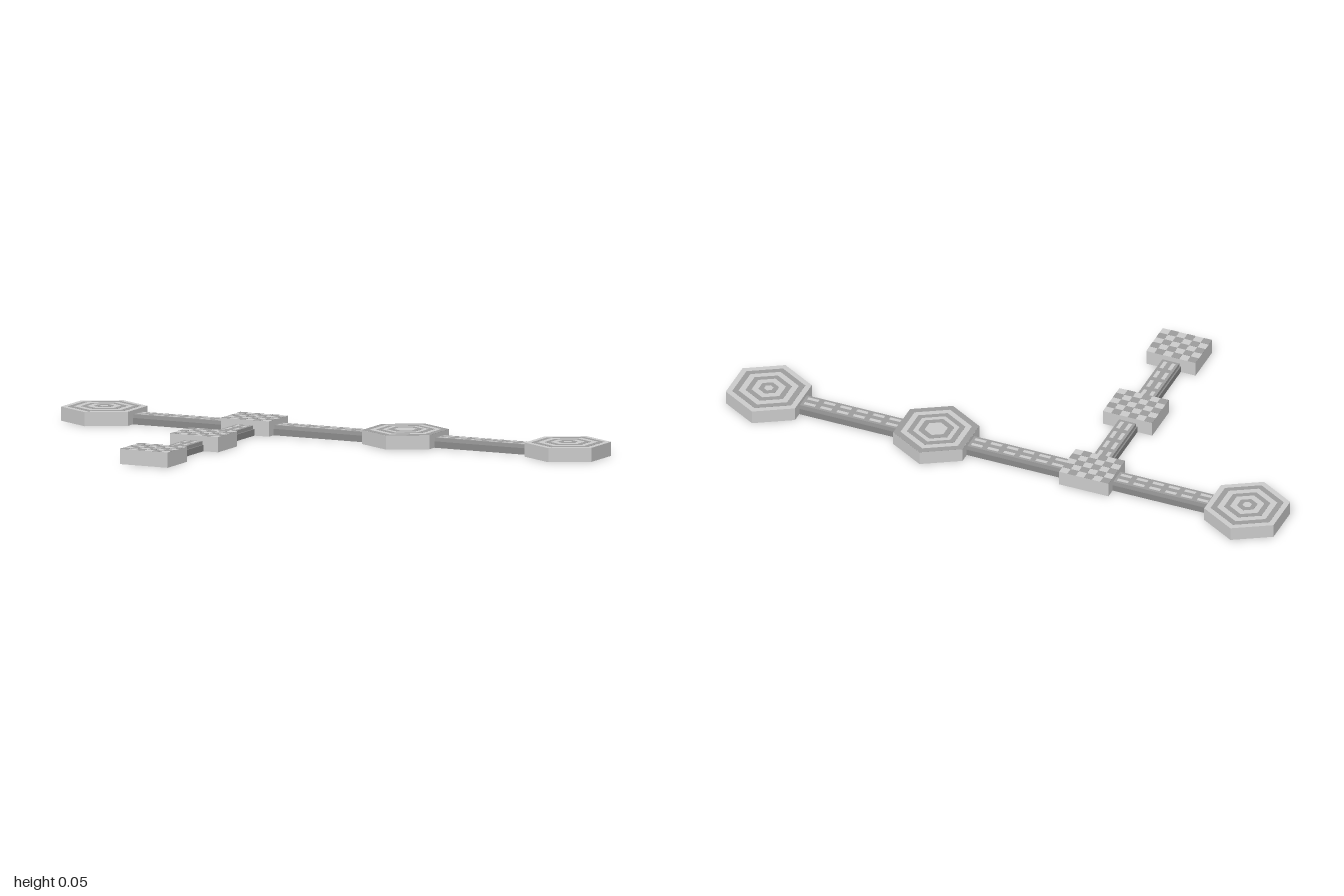
import * as THREE from 'three';

const light = new THREE.MeshStandardMaterial({ color: 0xcccccc, flatShading: true });
const dark = new THREE.MeshStandardMaterial({ color: 0x9c9c9c, flatShading: true });
const deep = new THREE.MeshStandardMaterial({ color: 0x8a8a8a, flatShading: true });

// Box standing on y0
function box(parent, name, w, h, d, x, y0, z, mat) {
  const mesh = new THREE.Mesh(new THREE.BoxGeometry(w, h, d), mat);
  mesh.name = name;
  mesh.position.set(x, y0 + h / 2, z);
  parent.add(mesh);
  return mesh;
}

// Hexagonal platform with concentric inlaid rings
function hexPlatform(x, z, fractions, firstDark) {
  const group = new THREE.Group();
  group.name = 'hexPlatform';
  const R = 0.146, H = 0.048;
  const prism = (name, r, h, y0, mat) => {
    const mesh = new THREE.Mesh(new THREE.CylinderGeometry(r, r, h, 6), mat);
    mesh.name = name;
    mesh.position.y = y0 + h / 2;
    group.add(mesh);
  };
  prism('hexBase', R, H, 0, light);
  fractions.forEach((f, i) => {
    const isDark = (i % 2 === 0) === firstDark;
    prism('hexRing', R * f, 0.0004 * (i + 1), H, isDark ? dark : light);
  });
  group.position.set(x, 0, z);
  return group;
}

// Rectangular platform with a checkered top
function checkerPlatform(x, z) {
  const group = new THREE.Group();
  group.name = 'checkerPlatform';
  const W = 0.18, D = 0.144, H = 0.052, cols = 6, rows = 5;
  box(group, 'platformBase', W, H, D, 0, 0, 0, light);
  const cw = W / cols, cd = D / rows;
  for (let i = 0; i < cols; i++) {
    for (let j = 0; j < rows; j++) {
      if ((i + j) % 2) continue;
      box(group, 'checkerTile', cw, 0.0006, cd, (i + 0.5) * cw - W / 2, H, (j + 0.5) * cd - D / 2, dark);
    }
  }
  group.position.set(x, 0, z);
  return group;
}

// Walkway along local x: footing, deck and two rows of dashes
function walkway(length) {
  const group = new THREE.Group();
  group.name = 'walkway';
  box(group, 'footing', length, 0.022, 0.072, 0, 0, 0, deep);
  box(group, 'deck', length, 0.012, 0.062, 0, 0.022, 0, dark);
  const n = Math.round(length / 0.058), step = length / n;
  for (let i = 0; i < n; i++) {
    for (const side of [-1, 1]) {
      box(group, 'deckDash', step * 0.68, 0.0006, 0.013, (i + 0.5) * step - length / 2, 0.034, side * 0.015, light);
    }
  }
  return group;
}

export function createModel() {
  const model = new THREE.Group();
  model.name = 'platformPath';
  const rowZ = -0.341, legX = -0.307;

  // Platforms
  const outerRings = [0.85, 0.7, 0.54, 0.4, 0.24, 0.11];
  model.add(hexPlatform(-0.8735, rowZ, outerRings, true));
  model.add(hexPlatform(0.8735, rowZ, outerRings, true));
  model.add(hexPlatform(0.262, rowZ, [0.999, 0.83, 0.68, 0.54, 0.42, 0.27], true));
  for (const z of [rowZ, 0.04, 0.417]) model.add(checkerPlatform(legX, z));

  // Walkways across the row
  for (const [a, b] of [[-0.747, -0.397], [-0.217, 0.136], [0.388, 0.747]]) {
    const w = walkway(b - a);
    w.position.set((a + b) / 2, 0, rowZ);
    model.add(w);
  }
  // Walkways down the leg
  for (const [a, b] of [[-0.269, -0.032], [0.112, 0.345]]) {
    const w = walkway(b - a);
    w.rotation.y = Math.PI / 2;
    w.position.set(legX, 0, (a + b) / 2);
    model.add(w);
  }
  return model;
}
